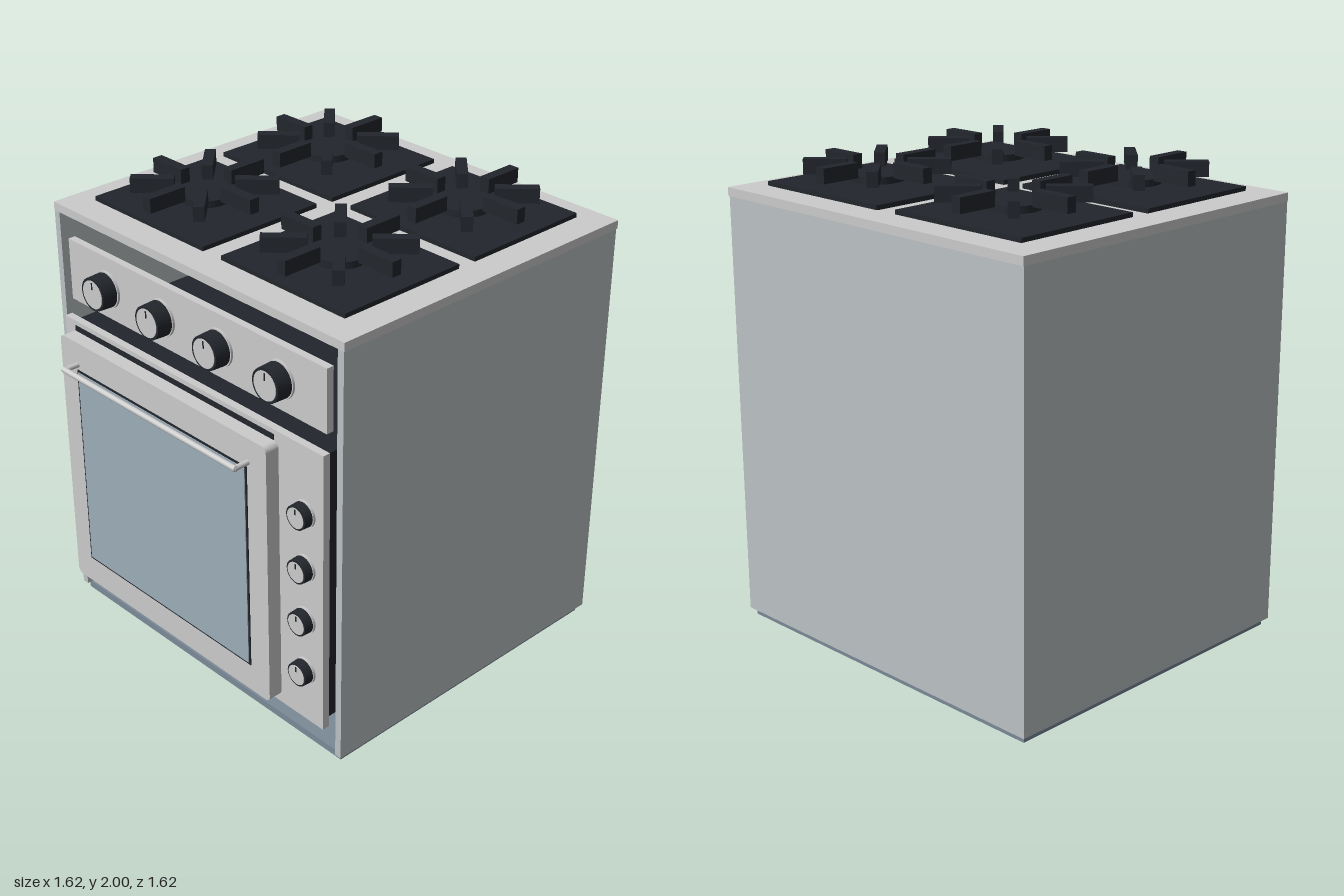
import * as THREE from 'three';

const mat = (color) => new THREE.MeshStandardMaterial({ color });
const steel = mat(0xcccccc);
const shell = mat(0xbcc2c4);
const black = mat(0x22262c);
const blueGrey = mat(0x7b8a98);
const glass = mat(0x9cadb8);

function add(parent, name, geometry, material, x = 0, y = 0, z = 0) {
  const mesh = new THREE.Mesh(geometry, material);
  mesh.name = name;
  mesh.position.set(x, y, z);
  parent.add(mesh);
  return mesh;
}

// Box given by its lower and upper limits on each axis
function block(parent, name, material, [x0, x1], [y0, y1], [z0, z1]) {
  return add(parent, name, new THREE.BoxGeometry(x1 - x0, y1 - y0, z1 - z0), material,
    (x0 + x1) / 2, (y0 + y1) / 2, (z0 + z1) / 2);
}

// Disc whose axis points along z, from z0 to z1
function dial(parent, name, material, r0, r1, z0, z1) {
  const geometry = new THREE.CylinderGeometry(r1, r0, z1 - z0, 32).rotateX(Math.PI / 2);
  return add(parent, name, geometry, material, 0, 0, (z0 + z1) / 2);
}

function knob(name, r, depth) {
  const g = new THREE.Group();
  g.name = name;
  dial(g, 'knobCollar', steel, r * 1.07, r * 1.07, 0, 0.01);
  dial(g, 'knobGrip', black, r, r * 0.96, 0.01, depth);
  dial(g, 'knobFace', steel, r * 0.82, r * 0.82, depth - 0.01, depth + 0.002);
  block(g, 'knobMark', black, [-0.003, 0.003], [r * 0.3, r * 0.72], [depth, depth + 0.004]);
  return g;
}

function burner() {
  const g = new THREE.Group();
  g.name = 'burner';
  block(g, 'burnerPlate', black, [-0.322, 0.322], [1.887, 1.905], [-0.287, 0.287]);
  add(g, 'plateSpacer', new THREE.BoxGeometry(0.6, 0.008, 0.53), black, 0, 1.884, 0);
  add(g, 'burnerBase', new THREE.CylinderGeometry(0.055, 0.055, 0.02, 24), black, 0, 1.912, 0);
  add(g, 'burnerCap', new THREE.CylinderGeometry(0.107, 0.107, 0.028, 32), black, 0, 1.93, 0);
  // Eight radial pan supports
  for (let i = 0; i < 8; i++) {
    const arm = new THREE.BoxGeometry(0.17, 0.06, 0.044).translate(0.202, 1.97, 0);
    add(g, 'panSupport', arm, black).rotation.y = (i * Math.PI) / 4;
  }
  return g;
}

export function createModel() {
  const model = new THREE.Group();
  model.name = 'cooker';

  // Open-fronted cabinet
  for (const s of [-1, 1]) {
    const wall = block(model, 'sideWall', shell, [0.78, 0.81], [0.08, 1.845], [-0.81, 0.64]);
    wall.position.x *= s;
  }
  block(model, 'backWall', shell, [-0.78, 0.78], [0.08, 1.845], [-0.81, -0.78]);
  block(model, 'hob', steel, [-0.812, 0.812], [1.845, 1.88], [-0.815, 0.64]);
  block(model, 'base', blueGrey, [-0.79, 0.79], [0.05, 0.08], [-0.79, 0.62]);
  block(model, 'ovenBox', black, [-0.72, 0.72], [0.22, 1.4], [-0.7, 0.64]);

  // Feet
  for (const x of [-0.65, 0.65]) {
    for (const z of [-0.625, 0.455]) {
      add(model, 'foot', new THREE.CylinderGeometry(0.049, 0.049, 0.05, 24), black, x, 0.025, z);
    }
  }

  // Burners
  for (const x of [-0.373, 0.373]) {
    for (const z of [-0.42, 0.238]) {
      const b = burner();
      b.position.set(x, 0, z);
      model.add(b);
    }
  }

  // Control panel with four large knobs
  block(model, 'controlPanel', steel, [-0.73, 0.73], [1.49, 1.75], [0.61, 0.641]);
  for (let i = 0; i < 4; i++) {
    const k = knob('burnerKnob', 0.071, 0.073);
    k.position.set(-0.493 + i * 0.3285, 1.615, 0.641);
    model.add(k);
  }

  // Oven front with four small knobs
  block(model, 'ovenFront', steel, [-0.745, 0.745], [0.2, 1.42], [0.64, 0.672]);
  block(model, 'ventSlot', black, [-0.68, 0.49], [1.377, 1.4], [0.66, 0.675]);
  for (let i = 0; i < 4; i++) {
    const k = knob('ovenKnob', 0.051, 0.047);
    k.position.set(0.65, 1.14 - i * 0.235, 0.672);
    model.add(k);
  }

  // Oven door, its corners slightly rounded
  const [w, h, r] = [0.6075, 0.5725, 0.025];
  const outline = new THREE.Shape();
  outline.absarc(w - r, h - r, r, 0, Math.PI / 2);
  outline.absarc(-w + r, h - r, r, Math.PI / 2, Math.PI);
  outline.absarc(-w + r, -h + r, r, Math.PI, Math.PI * 1.5);
  outline.absarc(w - r, -h + r, r, Math.PI * 1.5, Math.PI * 2);
  const door = new THREE.ExtrudeGeometry(outline, { depth: 0.061, bevelEnabled: false, curveSegments: 5 });
  add(model, 'ovenDoor', door, steel, -0.0955, 0.8025, 0.672);
  block(model, 'windowSeal', black, [-0.602, 0.408], [0.352, 1.253], [0.72, 0.736]);
  block(model, 'doorWindow', glass, [-0.593, 0.399], [0.361, 1.244], [0.72, 0.739]);

  // Door handle on two posts
  const rod = new THREE.CylinderGeometry(0.012, 0.012, 1.03, 16).rotateZ(Math.PI / 2);
  add(model, 'handleRod', rod, steel, -0.095, 1.275, 0.796);
  for (const x of [-0.6, 0.413]) {
    const post = new THREE.CylinderGeometry(0.011, 0.011, 0.07, 16).rotateX(Math.PI / 2);
    add(model, 'handlePost', post, steel, x, 1.275, 0.766);
  }
  return model;
}
